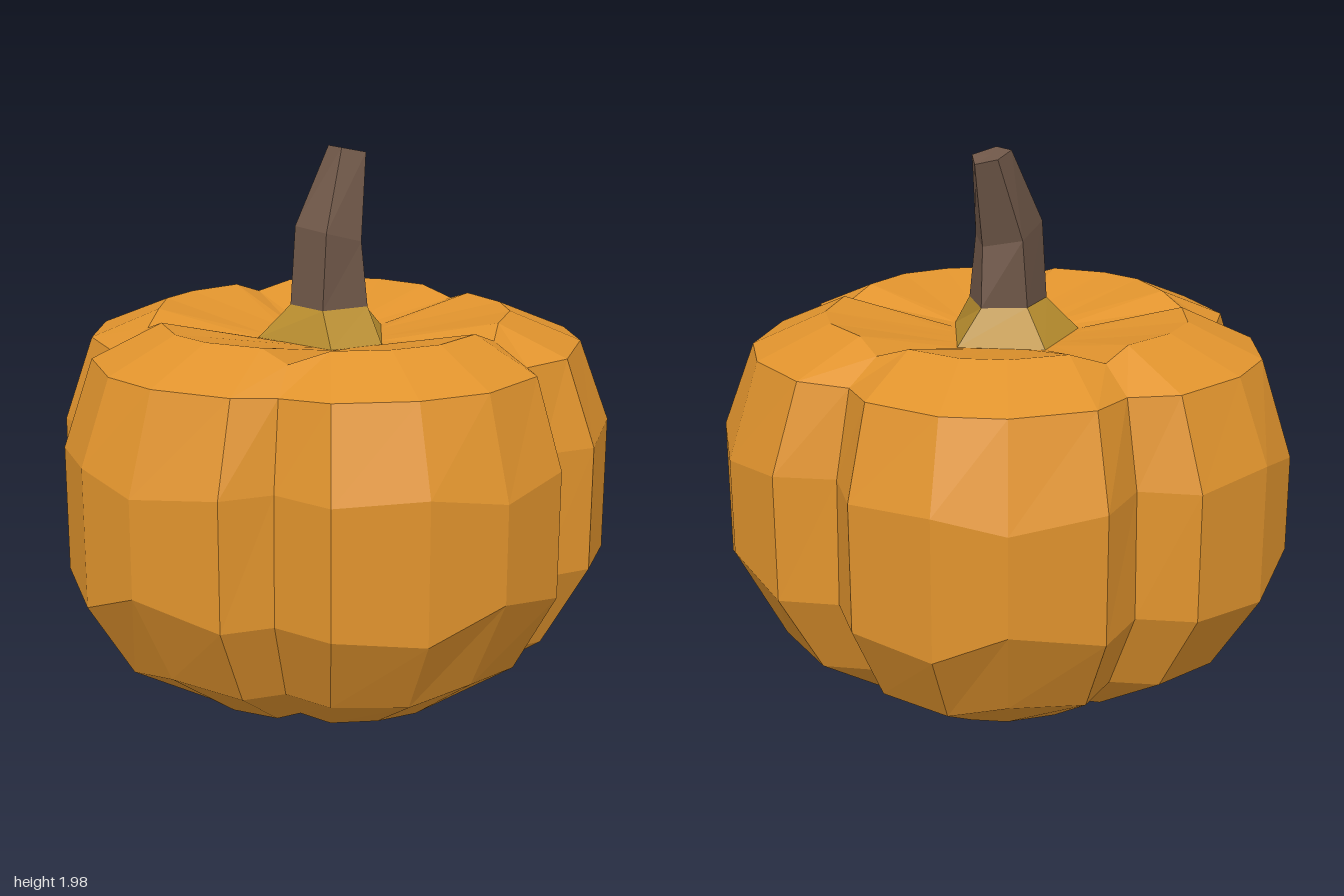
import * as THREE from 'three';

const skin = new THREE.MeshStandardMaterial({ name: 'orangeSkin', color: 0xe0932d, flatShading: true });
const collarMat = new THREE.MeshStandardMaterial({ name: 'oliveCollar', color: 0xb88d2e, flatShading: true });
const stemMat = new THREE.MeshStandardMaterial({ name: 'brownStem', color: 0x6f5748, flatShading: true });

// Joins closed loops of points, listed bottom to top, into a faceted surface
function loft(name, rings, material, capBottom, capTop) {
  const pos = [];
  const tri = (...pts) => pts.forEach((p) => pos.push(...p));
  const n = rings[0].length;
  const middle = (ring) => [0, 1, 2].map((k) => ring.reduce((s, p) => s + p[k], 0) / n);
  for (let r = 0; r < rings.length - 1; r++) {
    for (let i = 0; i < n; i++) {
      const j = (i + 1) % n;
      const a = rings[r][i], b = rings[r][j], c = rings[r + 1][j], d = rings[r + 1][i];
      tri(a, b, c);
      tri(a, c, d);
    }
  }
  const first = rings[0], last = rings[rings.length - 1];
  for (let i = 0; i < n; i++) {
    const j = (i + 1) % n;
    if (capBottom) tri(middle(first), first[j], first[i]);
    if (capTop) tri(middle(last), last[i], last[j]);
  }
  const geo = new THREE.BufferGeometry();
  geo.setAttribute('position', new THREE.Float32BufferAttribute(pos, 3));
  geo.computeVertexNormals();
  const mesh = new THREE.Mesh(geo, material);
  mesh.name = name;
  return mesh;
}

// Widest outline [x, z]: each lobe is a groove followed by four outer points
const outline = [
  [-0.55, 0.64], [-0.45, 0.84], [-0.16, 0.96], [0.12, 0.98], [0.41, 0.86],
  [0.47, 0.68], [0.67, 0.69], [0.91, 0.45], [1.0, 0.21], [0.98, -0.1],
  [0.82, -0.24], [0.88, -0.45], [0.74, -0.73], [0.55, -0.88], [0.235, -0.97],
  [0.04, -0.86], [-0.12, -0.99], [-0.44, -0.93], [-0.66, -0.8], [-0.82, -0.54],
  [-0.8, -0.31], [-0.95, -0.19], [-1.0, 0.12], [-0.93, 0.36], [-0.73, 0.61],
];

// Levels: lobe height, lobe scale, groove height, groove scale, facet unevenness
const levels = [
  [0.0, 0.27, 0.01, 0.32, 0],
  [0.035, 0.53, 0.06, 0.58, 0],
  [0.23, 0.83, 0.23, 0.83, 0.4],
  [0.53, 1.0, 0.53, 1.0, 1],
  [0.98, 1.0, 0.98, 0.99, -0.5],
  [1.29, 0.89, 1.28, 0.91, 0],
  [1.4, 0.635, 1.36, 0.76, 0],
];
const uneven = [0, 0, -0.03, 0.07, 0];

// Five-sided collar around the stem, one corner per groove
const collar = [[-0.1, 0.19], [0.1, 0.195], [0.26, -0.09], [0.02, -0.28], [-0.235, -0.11]];
const collarY = 1.31;

export function createModel() {
  const model = new THREE.Group();
  model.name = 'pumpkin';

  // Lobed body, with its top dipping down to the collar
  const rings = levels.map(([y, s, grooveY, grooveS, wobble]) => outline.map(([x, z], i) => {
    const k = i % 5;
    const f = k === 0 ? grooveS : s;
    return [x * f, (k === 0 ? grooveY : y) + uneven[k] * wobble, z * f];
  }));
  rings.push(outline.map((_, i) => {
    const a = collar[Math.floor(i / 5)], b = collar[(Math.floor(i / 5) + 1) % 5];
    const t = (i % 5) / 5;
    return [a[0] + (b[0] - a[0]) * t, collarY, a[1] + (b[1] - a[1]) * t];
  }));
  model.add(loft('body', rings, skin, true, false));

  // Stem sections, corners in the same order as the collar
  const stemBase = [[-0.085, 1.43, 0.1], [0.095, 1.43, 0.1], [0.15, 1.43, -0.07], [0.01, 1.43, -0.15], [-0.13, 1.43, -0.06]];
  const stemBend = [[-0.065, 1.7, 0.09], [0.08, 1.66, 0.08], [0.125, 1.64, -0.04], [0.03, 1.67, -0.15], [-0.11, 1.71, -0.06]];
  const stemTip = [[0.055, 1.98, -0.02], [0.15, 1.96, -0.015], [0.185, 1.94, -0.09], [0.13, 1.96, -0.15], [0.05, 1.98, -0.11]];
  model.add(loft('collar', [collar.map(([x, z]) => [x, collarY, z]), stemBase], collarMat, false, false));
  model.add(loft('stem', [stemBase, stemBend, stemTip], stemMat, false, true));
  return model;
}
